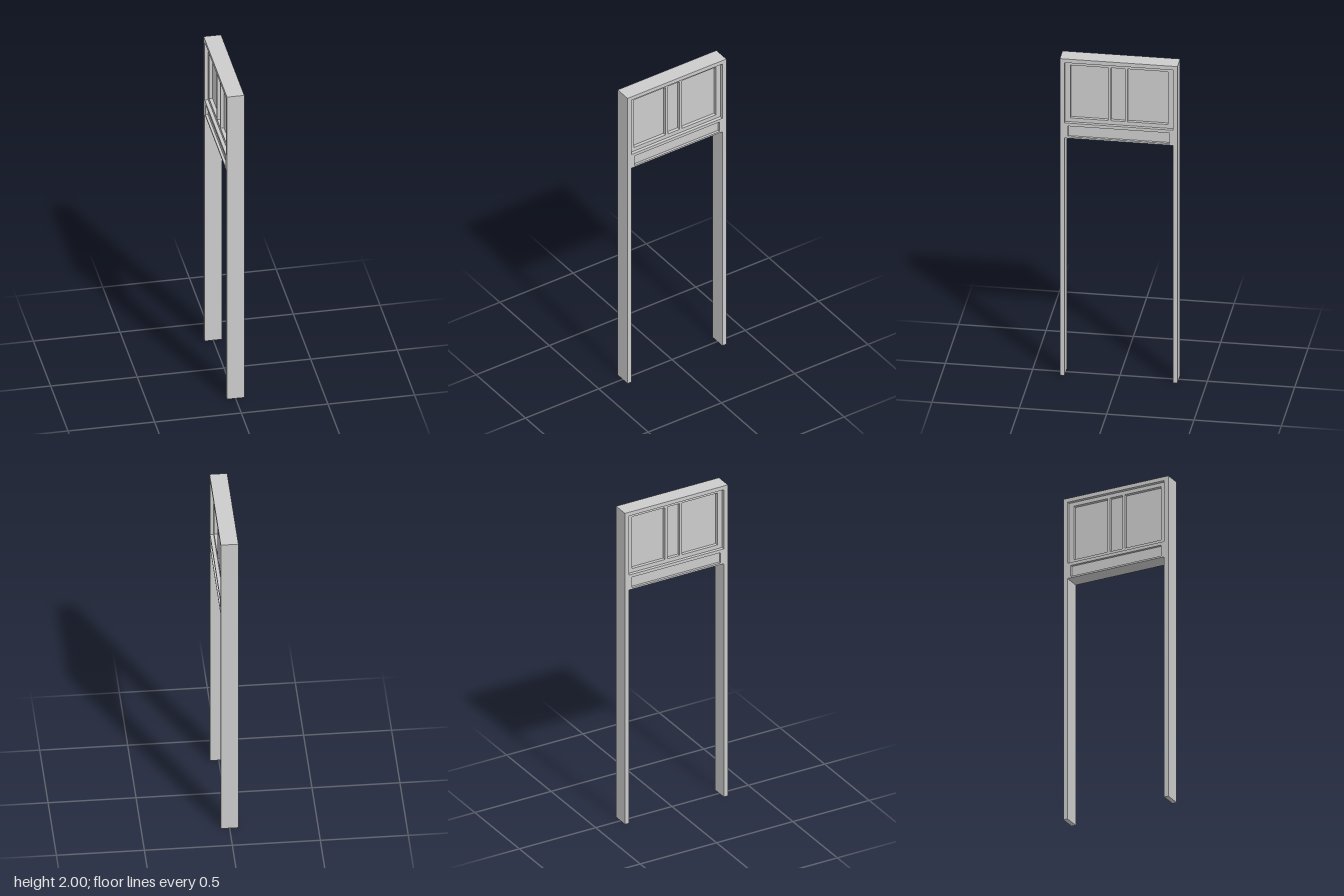
import * as THREE from 'three';

const material = new THREE.MeshStandardMaterial({ color: 0xcccccc, flatShading: true });

// Rectangle path from u0..u1 across the doorway and y0..y1 in height
function rect(PathType, u0, u1, y0, y1) {
  const p = new PathType();
  p.moveTo(u0, y0);
  p.lineTo(u1, y0);
  p.lineTo(u1, y1);
  p.lineTo(u0, y1);
  p.closePath();
  return p;
}

// Extrudes a shape along x, from x0 to x1; u runs towards -z
function slab(name, shape, x0, x1) {
  const geometry = new THREE.ExtrudeGeometry(shape, { depth: x1 - x0, bevelEnabled: false });
  geometry.translate(0, 0, x0);
  geometry.rotateY(Math.PI / 2);
  const mesh = new THREE.Mesh(geometry, material);
  mesh.name = name;
  return mesh;
}

export function createModel() {
  const model = new THREE.Group();
  model.name = 'doorFrameWithTransom';
  const W = 0.337, IN = 0.31, HALF = 0.05;

  // Posts, head and lintel in one piece, with openings for the transom and lintel panel
  const outline = new THREE.Shape([
    [-W, 0], [-IN, 0], [-IN, 1.5], [IN, 1.5], [IN, 0], [W, 0], [W, 2], [-W, 2],
  ].map(([u, y]) => new THREE.Vector2(u, y)));
  outline.holes.push(
    rect(THREE.Path, -IN, IN, 1.596, 1.976),
    rect(THREE.Path, -0.29, 0.29, 1.51, 1.577),
  );
  model.add(slab('frame', outline, -HALF, HALF));

  // Recessed panel in the lintel
  model.add(slab('lintelPanel', rect(THREE.Shape, -0.29, 0.29, 1.51, 1.577), -0.035, 0.035));

  // Transom panel at the middle of the frame
  model.add(slab('transomPanel', rect(THREE.Shape, -IN, IN, 1.596, 1.976), -0.01, 0.01));

  // Transom sash with two off-centre mullions, one on each face
  for (const side of [0, 1]) {
    const sash = rect(THREE.Shape, -IN, IN, 1.596, 1.976);
    for (const [u0, u1] of [[-0.28, -0.064], [-0.048, 0.032], [0.048, 0.28]]) {
      sash.holes.push(rect(THREE.Path, u0, u1, 1.62, 1.953));
    }
    const mesh = slab(side ? 'rightSash' : 'leftSash', sash, 0.01, 0.03);
    mesh.rotation.y = side * Math.PI;
    model.add(mesh);
  }
  return model;
}
